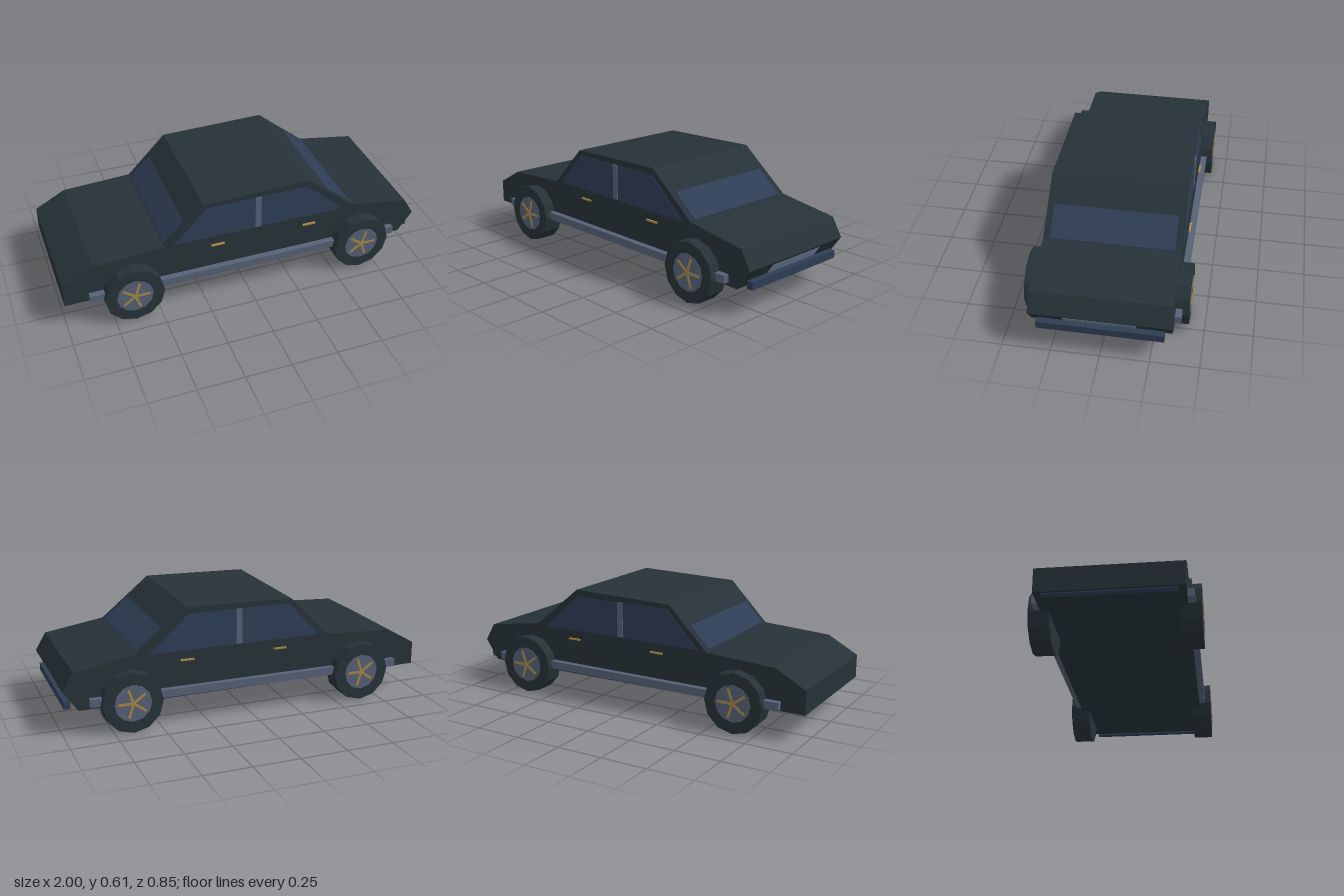
import * as THREE from 'three';

const material = (name, color) => {
  const m = new THREE.MeshStandardMaterial({ color });
  m.name = name;
  return m;
};

export function createModel() {
  const car = new THREE.Group();
  car.name = 'car';
  const paint = material('dark paint', 0x263238);
  const rubber = material('tyre rubber', 0x263238);
  const glass = material('blue glass', 0x2e3d55);
  const trim = material('slate trim', 0x566176);
  const gold = material('gold', 0xa88744);

  const add = (name, geometry, mat, parent = car) => {
    const mesh = new THREE.Mesh(geometry, mat);
    mesh.name = name;
    parent.add(mesh);
    return mesh;
  };
  // Box given by its limits on each axis
  const box = (name, mat, [x0, x1], [y0, y1], [z0, z1]) => {
    const mesh = add(name, new THREE.BoxGeometry(x1 - x0, y1 - y0, z1 - z0), mat);
    mesh.position.set((x0 + x1) / 2, (y0 + y1) / 2, (z0 + z1) / 2);
    return mesh;
  };
  // Side outline extruded symmetrically across the car
  const slab = (name, mat, points, halfWidth) => {
    const shape = new THREE.Shape(points.map(([x, y]) => new THREE.Vector2(x, y)));
    const geometry = new THREE.ExtrudeGeometry(shape, { depth: 2 * halfWidth, bevelEnabled: false });
    return add(name, geometry.translate(0, 0, -halfWidth), mat);
  };
  // Thin plate lying on a sloping face, between two side-view points
  const plate = (name, mat, [x0, y0], [x1, y1], width, thickness = 0.006) => {
    const mesh = add(name, new THREE.BoxGeometry(Math.hypot(x1 - x0, y1 - y0), thickness, width), mat);
    mesh.position.set((x0 + x1) / 2, (y0 + y1) / 2, 0);
    mesh.rotation.z = Math.atan2(y1 - y0, x1 - x0);
    return mesh;
  };

  // Body shell
  slab('body', paint, [
    [-1, 0.145], [0.92, 0.134], [0.998, 0.243], [0.94, 0.34], [0.61, 0.392],
    [0.34, 0.613], [-0.24, 0.6], [-0.455, 0.38], [-0.835, 0.36], [-1, 0.27],
  ], 0.355);

  // Front and rear glass
  plate('windscreen', glass, [0.468, 0.508], [0.606, 0.395], 0.64);
  plate('rearWindow', glass, [-0.449, 0.386], [-0.342, 0.496], 0.64);

  // Bumpers and grille
  box('frontBumper', glass, [0.953, 0.987], [0.137, 0.178], [-0.32, 0.32]);
  box('rearBumper', glass, [-0.985, -0.95], [0.139, 0.178], [-0.32, 0.32]);
  for (let i = 0; i < 5; i++) {
    const y = 0.184 + i * 0.011;
    const x = 0.92 + (y - 0.134) * 0.716;
    box('grilleSlat', trim, [x - 0.006, x + 0.006], [y - 0.0025, y + 0.0025], [-0.18, 0.18]);
  }

  for (const side of [-1, 1]) {
    const span = (a, b) => (side > 0 ? [a, b] : [-b, -a]);

    // Side glass with its centre pillar
    slab('sideWindow', glass, [[-0.406, 0.385], [0.55, 0.385], [0.337, 0.575], [-0.225, 0.575]], 0.003)
      .position.z = side * 0.355;
    box('doorPillar', trim, [0.043, 0.075], [0.389, 0.576], span(0.35, 0.363));

    // Sill strip and door handles
    box('sill', trim, [-0.87, 0.866], [0.154, 0.195], span(0.34, 0.388));
    for (const x of [-0.17, 0.35]) {
      box('doorHandle', gold, [x - 0.036, x + 0.036], [0.335, 0.343], span(0.366, 0.377));
    }

    // Wheels: twelve-sided tyre, hub disc and five spokes
    for (const x of [-0.64, 0.655]) {
      const wheel = new THREE.Group();
      wheel.name = 'wheel';
      wheel.position.set(x, 0.16, side * 0.3665);
      car.add(wheel);
      const disc = (name, radius, width, z, mat) =>
        add(name, new THREE.CylinderGeometry(radius, radius, width, 12).toNonIndexed()
          .rotateX(Math.PI / 2), mat, wheel).position.z = z;
      disc('tyre', 0.16, 0.105, 0, rubber);
      disc('hub', 0.098, 0.02, side * 0.045, trim);
      wheel.children.forEach((part) => part.geometry.computeVertexNormals());
      for (let i = 0; i < 5; i++) {
        const spoke = new THREE.BoxGeometry(0.08, 0.013, 0.01);
        spoke.translate(0.04, 0, side * 0.053).rotateZ((i * Math.PI * 2) / 5);
        add('spoke', spoke, gold, wheel);
      }
    }
  }
  return car;
}
